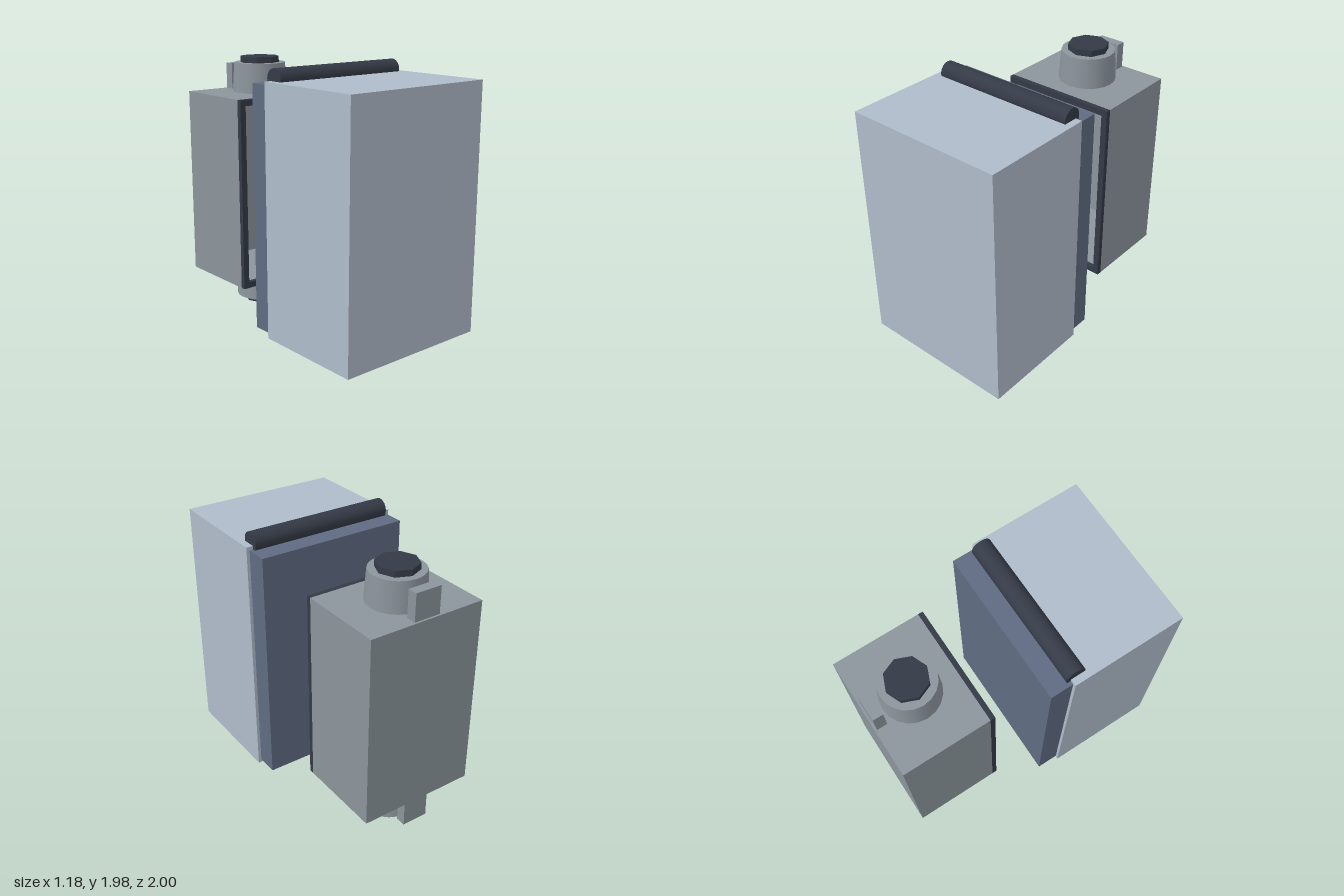
import * as THREE from 'three';

const mat = (name, color, flatShading = false) => {
  const m = new THREE.MeshStandardMaterial({ color });
  m.name = name;
  m.flatShading = flatShading;
  return m;
};

export function createModel() {
  const paleBlue = mat('paleBlueMetal', 0xb0bccb);
  const slate = mat('slateBlueMetal', 0x5f6b82);
  const grey = mat('greyMetal', 0x8b959c);
  const dark = mat('darkRubber', 0x343a46);
  const group = new THREE.Group();

  const add = (name, geometry, material, x, y, z) => {
    const mesh = new THREE.Mesh(geometry, material);
    mesh.name = name;
    mesh.position.set(x, y, z);
    group.add(mesh);
    return mesh;
  };

  // Box given by its half width and its y and z ranges
  const box = (name, material, hw, y0, y1, z0, z1) =>
    add(name, new THREE.BoxGeometry(hw * 2, y1 - y0, z1 - z0), material,
      0, (y0 + y1) / 2, (z0 + z1) / 2);

  // Rectangular tube along z with an open middle
  const frame = (name, material, hw, y0, y1, z0, z1, wall) => {
    const rect = (Type, w, b, t) => new Type([
      new THREE.Vector2(-w, b), new THREE.Vector2(w, b),
      new THREE.Vector2(w, t), new THREE.Vector2(-w, t),
    ]);
    const shape = rect(THREE.Shape, hw, y0, y1);
    shape.holes.push(rect(THREE.Path, hw - wall, y0 + wall, y1 - wall));
    add(name, new THREE.ExtrudeGeometry(shape, { depth: z1 - z0, bevelEnabled: false }),
      material, 0, 0, z0);
  };

  // Front housing, its rear lid, hinge rod and foot
  box('frontHousing', paleBlue, 0.588, 0.105, 1.893, 0.17, 1);
  box('rearLid', slate, 0.565, 0.13, 1.868, 0.005, 0.17);
  add('hingeRod', new THREE.CylinderGeometry(0.072, 0.072, 1.075, 24), dark,
    0, 1.907, 0.206).rotation.z = Math.PI / 2;
  box('foot', dark, 0.147, 0, 0.105, 0.355, 0.545);

  // Hollow back housing, open to the front, with a dark seal
  frame('backHousingWalls', grey, 0.437, 0.29, 1.705, -0.97, -0.358, 0.04);
  box('backHousingPanel', grey, 0.437, 0.29, 1.705, -1, -0.97);
  frame('openingSeal', dark, 0.437, 0.29, 1.705, -0.358, -0.322, 0.045);

  // Tapered collar, octagonal knob and tab on both ends
  for (const top of [true, false]) {
    const end = top ? 'top' : 'bottom';
    const s = top ? 1 : -1;
    const y = top ? 1.705 : 0.29;
    add(end + 'Collar', new THREE.CylinderGeometry(0.193, 0.208, 0.22, 20), grey,
      0, y + s * 0.11, -0.68);
    const knob = new THREE.CylinderGeometry(0.147, 0.147, 0.045, 8).toNonIndexed();
    knob.computeVertexNormals();
    add(end + 'Knob', knob, dark, 0, y + s * 0.2425, -0.68);
    const tip = y + s * 0.197;
    box(end + 'Tab', grey, 0.098, Math.min(y, tip), Math.max(y, tip), -0.985, -0.912);
  }
  return group;
}
